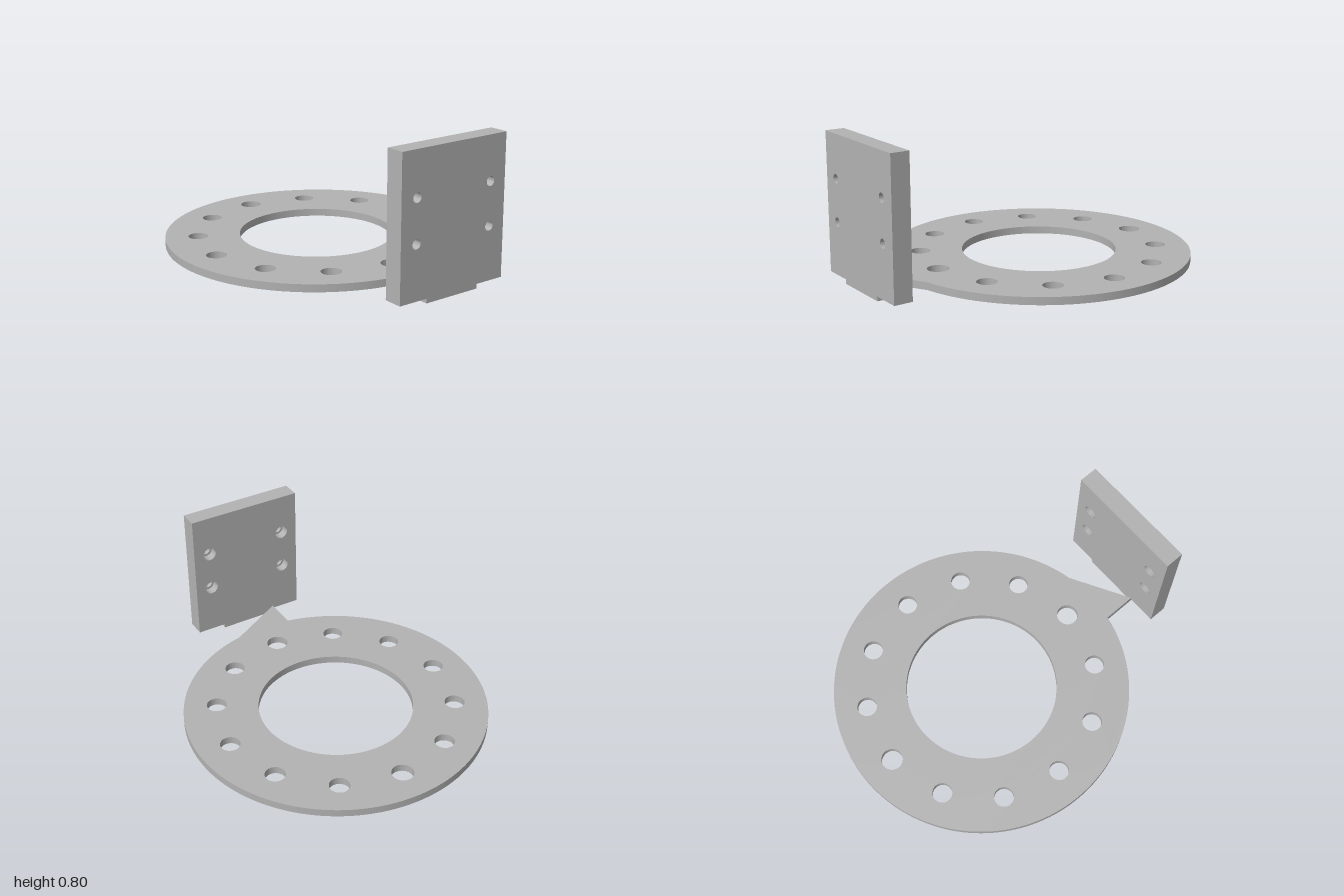
import * as THREE from 'three';
import { toCreasedNormals } from 'three/addons/utils/BufferGeometryUtils.js';

const metal = new THREE.MeshStandardMaterial({ color: 0xb2b2b2 });
metal.name = 'grey metal';

const CENTRE_X = -0.14, OUTER_R = 0.858, INNER_R = 0.437, THICK = 0.043;
const TAB_HALF = 0.17, PLATE_X = 0.893, PLATE_BOTTOM = 0.025;

function addHole(shape, x, y, r) {
  const hole = new THREE.Path();
  hole.absarc(x, y, r, 0, Math.PI * 2, true);
  shape.holes.push(hole);
}

function extrude(shape, depth, curveSegments) {
  const geometry = new THREE.ExtrudeGeometry(shape, { depth, curveSegments, bevelEnabled: false });
  return toCreasedNormals(geometry, Math.PI / 6);
}

function makeMesh(name, geometry) {
  const mesh = new THREE.Mesh(geometry, metal);
  mesh.name = name;
  return mesh;
}

// Flat ring with a tab reaching to the upright plate
function ringFlange() {
  const shape = new THREE.Shape();
  const a = Math.asin(TAB_HALF / OUTER_R);
  shape.moveTo(PLATE_X, TAB_HALF);
  shape.absarc(CENTRE_X, 0, OUTER_R, a, Math.PI * 2 - a, false);
  shape.lineTo(PLATE_X, -TAB_HALF);
  shape.closePath();
  addHole(shape, CENTRE_X, 0, INNER_R);
  for (let i = 0; i < 12; i++) {
    const t = (i / 12) * Math.PI * 2;
    addHole(shape, CENTRE_X + 0.673 * Math.cos(t), 0.673 * Math.sin(t), i % 6 === 0 ? 0.061 : 0.056);
  }
  const mesh = makeMesh('ringFlange', extrude(shape, THICK, 96));
  mesh.rotation.x = -Math.PI / 2;
  return mesh;
}

// One layer of the upright plate, with four screw holes
function plateLayer(name, x0, x1, holeRadius) {
  const w = 0.343, top = 0.8;
  const shape = new THREE.Shape([
    new THREE.Vector2(-w, PLATE_BOTTOM), new THREE.Vector2(w, PLATE_BOTTOM),
    new THREE.Vector2(w, top), new THREE.Vector2(-w, top),
  ]);
  for (const z of [-0.243, 0.243]) {
    for (const y of [0.322, 0.558]) addHole(shape, z, y, holeRadius);
  }
  const mesh = makeMesh(name, extrude(shape, x1 - x0, 40));
  mesh.rotation.y = Math.PI / 2;
  mesh.position.x = x0;
  return mesh;
}

export function createModel() {
  const model = new THREE.Group();
  model.name = 'flangeBracket';
  model.add(ringFlange());

  // Thin end of the tab under the plate
  const foot = makeMesh('tabFoot', new THREE.BoxGeometry(1 - PLATE_X, PLATE_BOTTOM, TAB_HALF * 2));
  foot.position.set((1 + PLATE_X) / 2, PLATE_BOTTOM / 2, 0);
  model.add(foot);

  // Wide counterbores on the ring side, narrow holes outside
  const plate = new THREE.Group();
  plate.name = 'mountingPlate';
  plate.add(plateLayer('counterboredLayer', PLATE_X, 0.945, 0.04));
  plate.add(plateLayer('outerLayer', 0.945, 1, 0.026));
  model.add(plate);
  return model;
}
